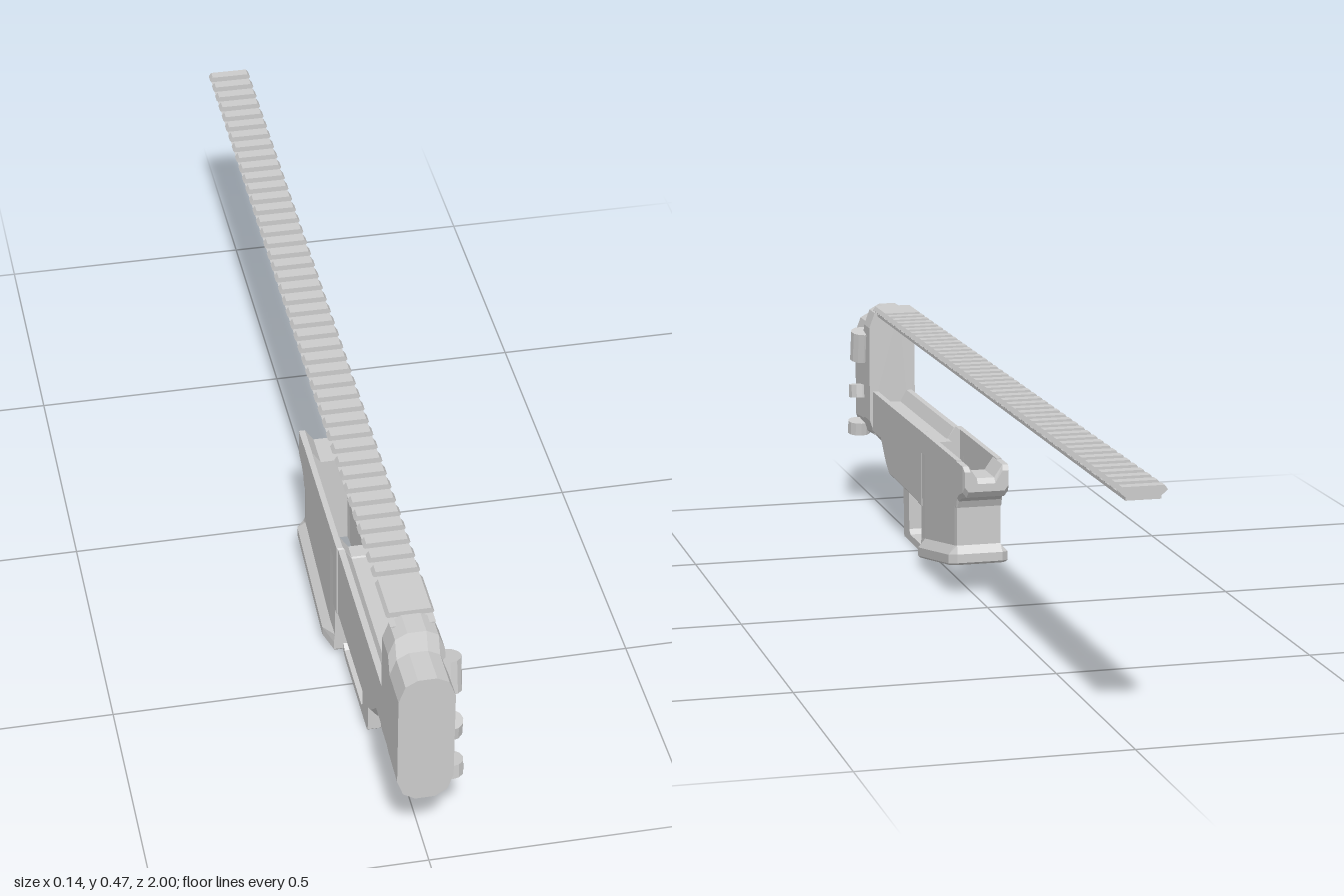
import * as THREE from 'three';

const material = new THREE.MeshStandardMaterial({ color: 0xcccccc, flatShading: true });

function add(parent, name, geometry) {
  const mesh = new THREE.Mesh(geometry, material);
  mesh.name = name;
  parent.add(mesh);
  return mesh;
}

// Mirrors a half outline (+x side, bottom to top) into a full ring
const mirrored = (half) => [...half, ...half.slice().reverse().map(([x, ...r]) => [-x, ...r])];

// Skins a list of equal-length rings of [x, y, z]; closes the ends if asked
function loft(rings, caps = true) {
  const out = [];
  const n = rings[0].length;
  for (let i = 0; i < rings.length - 1; i++) {
    for (let j = 0; j < n; j++) {
      const k = (j + 1) % n;
      const a = rings[i][j], b = rings[i][k], c = rings[i + 1][k], d = rings[i + 1][j];
      out.push(...a, ...b, ...c, ...a, ...c, ...d);
    }
  }
  if (caps) {
    const cap = (ring, flip) => {
      const flat = ring.map(([x, y]) => new THREE.Vector2(x, y));
      for (const [a, b, c] of THREE.ShapeUtils.triangulateShape(flat, [])) {
        out.push(...ring[a], ...ring[flip ? c : b], ...ring[flip ? b : c]);
      }
    };
    cap(rings[0], true);
    cap(rings[rings.length - 1], false);
  }
  const g = new THREE.BufferGeometry();
  g.setAttribute('position', new THREE.Float32BufferAttribute(out, 3));
  g.computeVertexNormals();
  return g;
}

// Straight bar of an x-y half profile between two z positions
const bar = (half, z0, z1) => loft([z0, z1].map((z) => mirrored(half).map(([x, y]) => [x, y, z])));

// Receiver cross-section: bevelled bottom, shallow trough on top
const troughRing = (z, h, bottom, bevel, top) => mirrored([
  [h - bevel, bottom, z], [h, bottom + bevel * 1.2 + 0.001, z], [h, top, z],
  [h - 0.012, top, z], [0.018, top - 0.025, z],
]);

// Rounded end block outline
const endRing = (z, b, t) => mirrored([
  [0.018, b, z], [0.04, b + 0.014, z], [0.051, b + 0.045, z],
  [0.051, t - 0.045, z], [0.039, t - 0.012, z], [0.017, t, z],
]);

// Horizontal magazine well outline; y is given as a function of z
function wellRing(h, corner, rear, front, y) {
  const half = [[corner, rear], [h, rear + 0.015], [h, 0.37], [corner, front]];
  return mirrored(half).map(([x, z]) => [x, y(z), z]);
}

export function createModel() {
  const model = new THREE.Group();
  model.name = 'receiverAssembly';
  const body = new THREE.Group();
  body.name = 'body';
  body.position.x = -0.01;
  model.add(body);

  // End block with a raised rear step
  add(body, 'endBlock', loft([
    endRing(0.86, 0.165, 0.463), endRing(0.91, 0.165, 0.463),
    endRing(0.925, 0.16, 0.43), endRing(1, 0.155, 0.43),
  ]));

  // Three short studs on the left side of the block
  for (const [y, z, height, tilt] of [[0.37, 0.92, 0.066, -0.2], [0.264, 0.94, 0.028, 0.12], [0.18, 0.952, 0.028, -0.12]]) {
    const stud = add(body, 'sideStud', new THREE.CylinderGeometry(0.025, 0.025, height, 12));
    stud.position.set(0.055, y, z);
    stud.rotation.x = tilt;
  }

  // Long rail: continuous base and evenly spaced teeth
  const rail = new THREE.Group();
  rail.name = 'rail';
  body.add(rail);
  add(rail, 'railBase', bar([[0.032, 0.443], [0.032, 0.449], [0.041, 0.456]], -1, 0.88));
  const tooth = [[0.04, 0.4555], [0.0435, 0.459], [0.038, 0.467]];
  add(rail, 'railEndPlate', bar(tooth, 0.76, 0.855));
  const count = 43, pitch = 1.76 / count;
  for (let i = 0; i < count; i++) {
    const z = -1 + i * pitch;
    add(rail, 'railTooth', bar(tooth, z, z + pitch * 0.5));
  }

  // Front half of the receiver, stepping up towards the end block
  add(body, 'receiver', loft([
    troughRing(0.4, 0.047, 0.12, 0.001, 0.28), troughRing(0.432, 0.047, 0.12, 0.001, 0.28),
    troughRing(0.434, 0.044, 0.12, 0.001, 0.277), troughRing(0.71, 0.044, 0.122, 0.002, 0.276),
    troughRing(0.74, 0.044, 0.128, 0.012, 0.276), troughRing(0.785, 0.044, 0.167, 0.016, 0.276),
    troughRing(0.87, 0.044, 0.167, 0.016, 0.276),
  ]));

  // Open magazine well with a flared, sloping mouth
  const slope = (offset) => (z) => 0.083 - 0.177 * z + offset;
  const level = () => 0.245;
  const well = [
    wellRing(0.047, 0.045, 0.107, 0.41, level),
    wellRing(0.047, 0.045, 0.107, 0.41, slope(0.04)),
    wellRing(0.062, 0.047, 0.098, 0.41, slope(0.022)),
    wellRing(0.062, 0.047, 0.098, 0.41, slope(0.004)),
    wellRing(0.058, 0.045, 0.102, 0.408, slope(0)),
    wellRing(0.038, 0.036, 0.13, 0.4, slope(0)),
    wellRing(0.036, 0.036, 0.13, 0.4, level),
  ];
  add(body, 'magazineWell', loft([...well, well[0]], false));
  for (const s of [-1, 1]) {
    const wall = add(body, 'wellUpperWall', new THREE.BoxGeometry(0.011, 0.045, 0.32));
    wall.position.set(s * 0.0415, 0.2575, 0.265);
  }

  // Rear lip curving out over the back of the well
  add(body, 'rearLip', loft([
    troughRing(0.045, 0.045, 0.227, 0.008, 0.268), troughRing(0.055, 0.047, 0.214, 0.008, 0.278),
    troughRing(0.085, 0.047, 0.206, 0.006, 0.278), troughRing(0.1, 0.047, 0.197, 0.004, 0.278),
    troughRing(0.108, 0.047, 0.18, 0.002, 0.278), troughRing(0.13, 0.047, 0.18, 0.002, 0.278),
  ]));

  // Guard loop: side outline with a rounded-corner opening
  const guard = new THREE.Shape([[0.64, 0.13], [0.64, 0.006], [0.634, 0], [0.43, 0], [0.395, 0.01], [0.395, 0.13]]
    .map(([z, y]) => new THREE.Vector2(z, y)));
  guard.holes.push(new THREE.Path([[0.42, 0.016], [0.58, 0.016], [0.59, 0.026], [0.59, 0.108], [0.58, 0.119],
    [0.42, 0.119], [0.41, 0.108], [0.41, 0.026]].map(([z, y]) => new THREE.Vector2(z, y))));
  const guardGeometry = new THREE.ExtrudeGeometry(guard, { depth: 0.056, bevelEnabled: false });
  guardGeometry.rotateY(-Math.PI / 2).translate(0.028, 0, 0);
  add(body, 'guardLoop', guardGeometry);

  return model;
}
